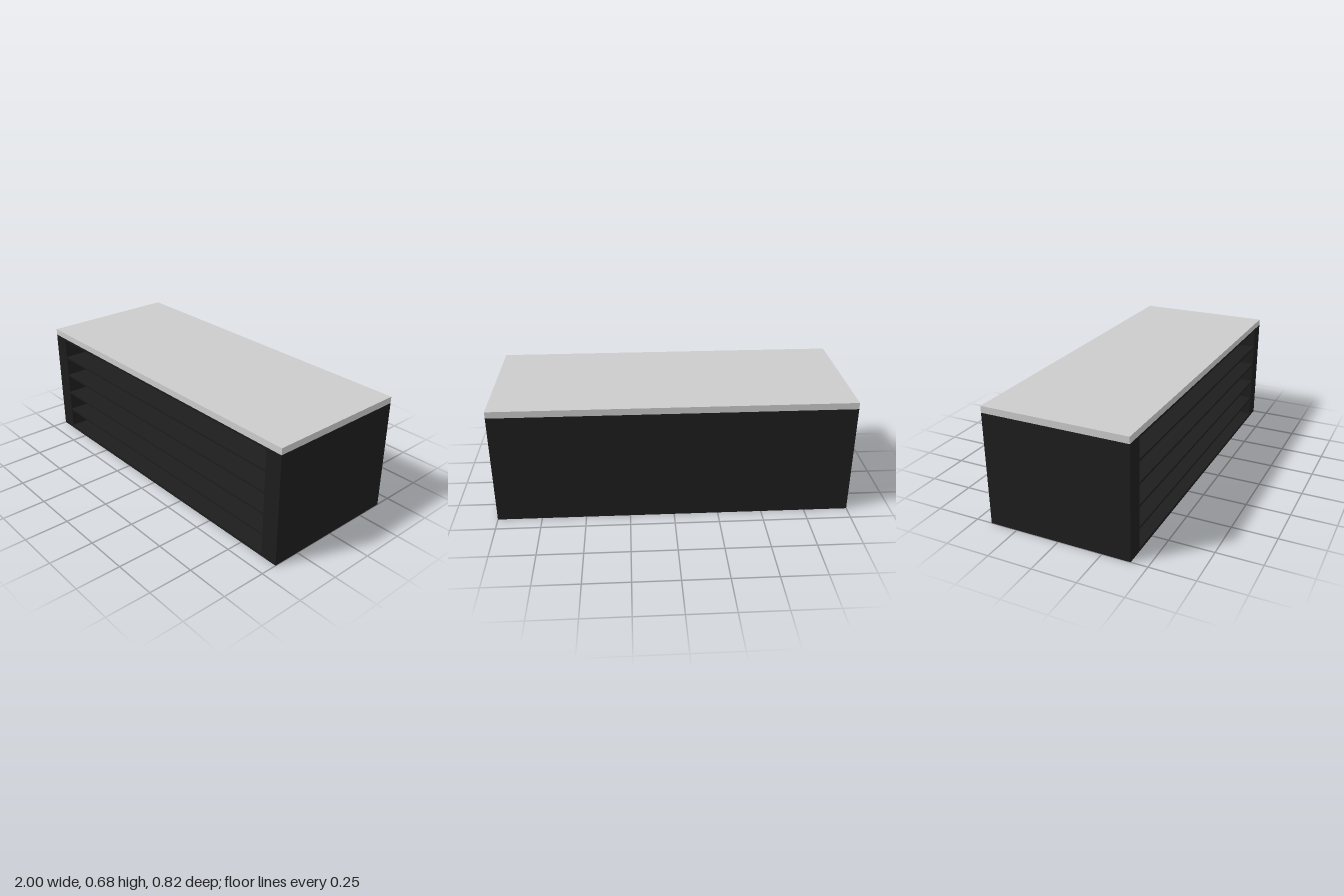
import * as THREE from 'three';

export function createModel() {
  const group = new THREE.Group();
  group.name = 'shelfCabinet';
  const dark = new THREE.MeshStandardMaterial({ color: 0x1d1d1d });
  const grey = new THREE.MeshStandardMaterial({ color: 0xcccccc });

  // Box given by its lower and upper corners
  function panel(name, [x0, y0, z0], [x1, y1, z1], material = dark) {
    const mesh = new THREE.Mesh(new THREE.BoxGeometry(x1 - x0, y1 - y0, z1 - z0), material);
    mesh.position.set((x0 + x1) / 2, (y0 + y1) / 2, (z0 + z1) / 2);
    mesh.name = name;
    group.add(mesh);
  }

  const depth = 0.408, inner = 0.9, bodyTop = 0.638, height = 0.675;
  const back = -depth + 0.03;
  const floorTop = 0.018, ceiling = 0.625;

  // Worktop
  panel('worktop', [-1, bodyTop, -depth], [1, height, depth], grey);

  // Thick side walls, back, floor and ceiling of the carcass
  panel('leftSide', [inner, 0, -depth], [1, bodyTop, depth]);
  panel('rightSide', [-1, 0, -depth], [-inner, bodyTop, depth]);
  panel('backPanel', [-inner, 0, -depth], [inner, bodyTop, back]);
  panel('floorPanel', [-inner, 0, back], [inner, floorTop, depth]);
  panel('ceilingPanel', [-inner, ceiling, back], [inner, bodyTop, depth]);

  // Four thin shelves making five equal open bays
  const bays = 5, thickness = 0.012;
  const step = (ceiling - floorTop + thickness) / bays;
  for (let i = 1; i < bays; i++) {
    const top = floorTop + i * step;
    panel('shelf' + i, [-inner, top - thickness, back], [inner, top, depth]);
  }
  return group;
}
